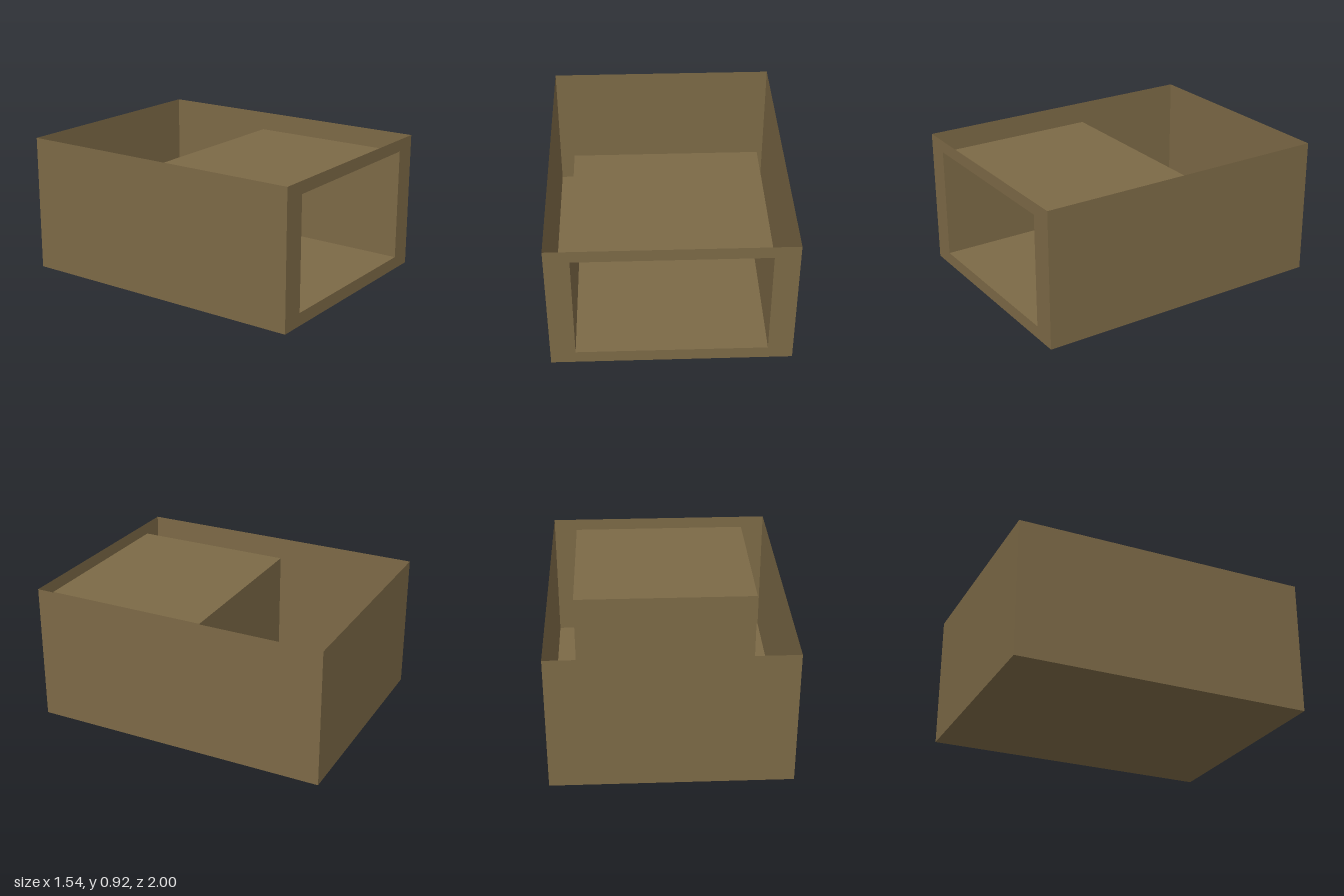
import * as THREE from 'three';

const W = 1.545, H = 0.917, D = 2;                       // outer shell
const IN = { w: 1.225, y0: 0.085, y1: 0.835, z: -0.1 };  // front recess

export function createModel() {
  const model = new THREE.Group();
  const brown = new THREE.MeshStandardMaterial({ color: 0x7c6946, side: THREE.DoubleSide });
  brown.name = 'brown';

  function add(parent, name, geometry, position, rotation = [0, 0, 0]) {
    const mesh = new THREE.Mesh(geometry, brown);
    mesh.name = name;
    mesh.position.set(...position);
    mesh.rotation.set(...rotation);
    parent.add(mesh);
  }
  const panel = (w, h) => new THREE.PlaneGeometry(w, h);
  const Q = Math.PI / 2;

  // Thin outer shell, open at the top
  const shell = new THREE.Group();
  shell.name = 'shell';
  model.add(shell);
  add(shell, 'bottom', panel(W, D), [0, 0, 0], [Q, 0, 0]);
  add(shell, 'backWall', panel(W, H), [0, H / 2, -D / 2], [0, Math.PI, 0]);
  for (const s of [-1, 1]) {
    add(shell, s > 0 ? 'leftWall' : 'rightWall', panel(D, H), [s * W / 2, H / 2, 0], [0, s * Q, 0]);
  }

  // Front wall with a rectangular opening
  const rect = (path, x, y0, y1) =>
    path.moveTo(-x, y0).lineTo(x, y0).lineTo(x, y1).lineTo(-x, y1).closePath();
  const front = rect(new THREE.Shape(), W / 2, 0, H);
  front.holes.push(rect(new THREE.Path(), IN.w / 2, IN.y0, IN.y1));
  add(shell, 'frontWall', new THREE.ShapeGeometry(front), [0, 0, D / 2]);

  // Recessed compartment behind the opening, faces turned inwards
  const recess = new THREE.Group();
  recess.name = 'recess';
  model.add(recess);
  const depth = D / 2 - IN.z, zMid = (D / 2 + IN.z) / 2;
  const h = IN.y1 - IN.y0, yMid = (IN.y0 + IN.y1) / 2;
  add(recess, 'recessFloor', panel(IN.w, depth), [0, IN.y0, zMid], [-Q, 0, 0]);
  add(recess, 'recessRoof', panel(IN.w, depth), [0, IN.y1, zMid], [Q, 0, 0]);
  add(recess, 'recessBack', panel(IN.w, h), [0, yMid, IN.z]);
  for (const s of [-1, 1]) {
    add(recess, s > 0 ? 'recessLeftSide' : 'recessRightSide', panel(depth, h),
      [s * IN.w / 2, yMid, zMid], [0, -s * Q, 0]);
  }
  return model;
}
